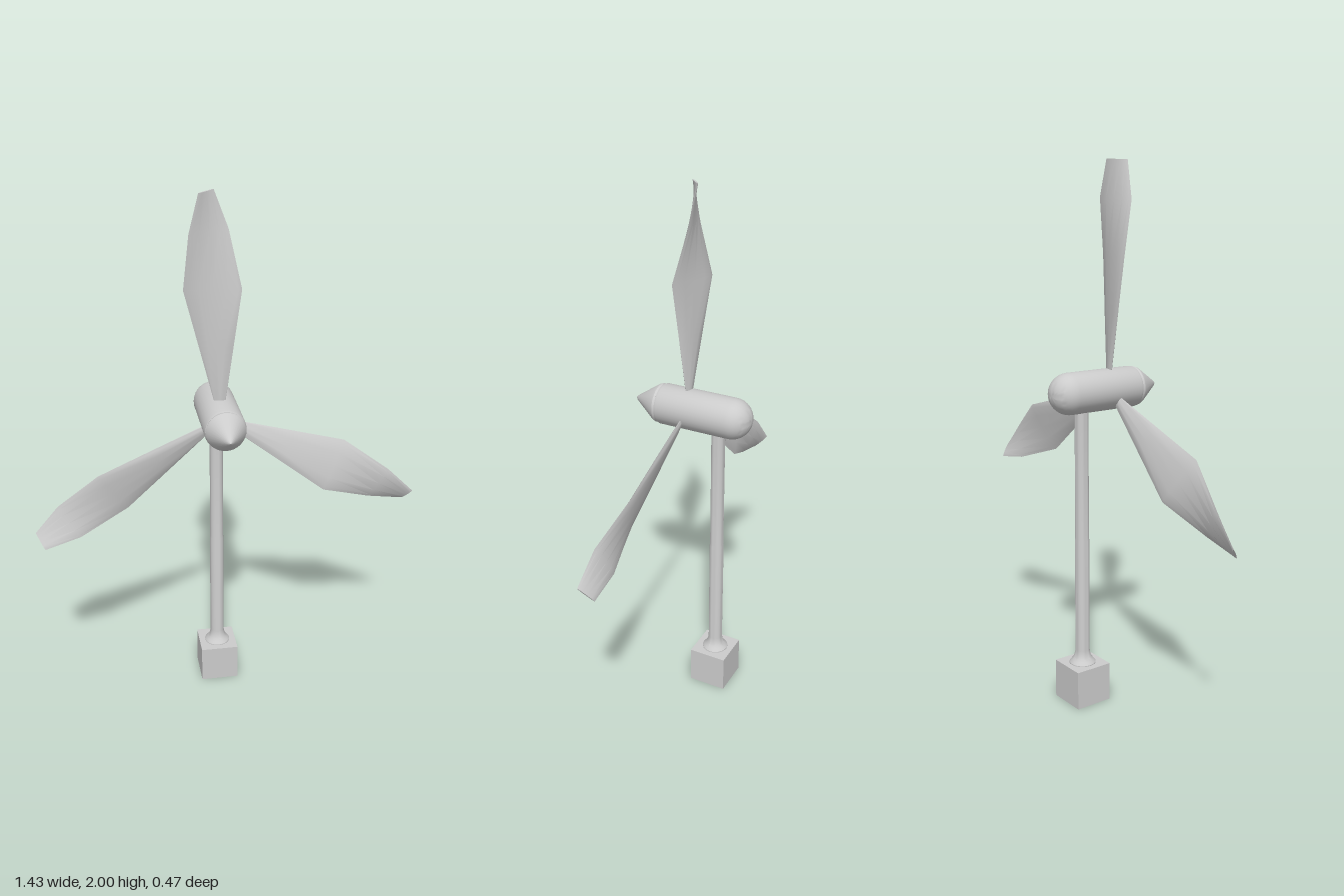
import * as THREE from 'three';
import { toCreasedNormals } from 'three/addons/utils/BufferGeometryUtils.js';

const AXIS_X = -0.022, HUB_Y = 1.19, TOWER_Z = -0.105;
const material = new THREE.MeshStandardMaterial({ color: 0xcccccc });

function part(name, geometry, x = 0, y = 0, z = 0) {
  const mesh = new THREE.Mesh(geometry, material);
  mesh.name = name;
  mesh.position.set(x, y, z);
  return mesh;
}

function lathe(profile, segments = 32) {
  const points = profile.map(([r, y]) => new THREE.Vector2(r, y));
  return toCreasedNormals(new THREE.LatheGeometry(points, segments), 0.55);
}

// Twisted lens-shaped blade running outward along +y
function bladeGeometry() {
  // distance from hub, half width, half thickness, edge offset in z
  const stations = [
    [0.075, 0.021, 0.006, -0.004],
    [0.28, 0.060, 0.009, -0.016],
    [0.48, 0.098, 0.010, -0.028],
    [0.68, 0.070, 0.008, 0.016],
    [0.812, 0.029, 0.005, 0.024],
  ];
  const sides = 12, vertices = [], index = [];
  for (const [y, width, thick, twist] of stations) {
    for (let j = 0; j < sides; j++) {
      const a = (j / sides) * Math.PI * 2, c = Math.cos(a);
      vertices.push(c * width, y, Math.sin(a) * thick - c * twist);
    }
  }
  for (let i = 0; i < stations.length - 1; i++) {
    for (let j = 0; j < sides; j++) {
      const a = i * sides + j, b = i * sides + ((j + 1) % sides);
      index.push(a, a + sides, b, b, a + sides, b + sides);
    }
  }
  // root and tip caps
  const last = (stations.length - 1) * sides;
  for (let j = 1; j < sides - 1; j++) {
    index.push(0, j, j + 1, last, last + j + 1, last + j);
  }
  const geometry = new THREE.BufferGeometry();
  geometry.setAttribute('position', new THREE.Float32BufferAttribute(vertices, 3));
  geometry.setIndex(index);
  return toCreasedNormals(geometry, 0.9);
}

export function createModel() {
  const model = new THREE.Group();
  model.name = 'windTurbine';

  // Foundation block and tower with flared foot and a slight step at mid height
  model.add(part('base', new THREE.BoxGeometry(0.147, 0.147, 0.147), AXIS_X, 0.0735, TOWER_Z));
  model.add(part('tower', lathe([
    [0, 0.14], [0.05, 0.14], [0.05, 0.15], [0.042, 0.16], [0.034, 0.17], [0.029, 0.185],
    [0.027, 0.2], [0.027, 0.635], [0.0255, 0.645], [0.0255, 1.15],
  ], 24), AXIS_X, 0, TOWER_Z));

  // Nacelle: rounded tail and straight body
  const profile = [];
  for (let i = 0; i <= 10; i++) {
    const a = (i / 10) * Math.PI / 2;
    profile.push([0.076 * Math.sin(a), -0.16 - 0.075 * Math.cos(a)]);
  }
  profile.push([0.076, 0.115], [0.073, 0.123], [0.066, 0.127], [0, 0.127]);
  model.add(part('nacelle', lathe(profile).rotateX(Math.PI / 2), AXIS_X, HUB_Y, 0));

  // Pointed nose cone
  model.add(part('noseCone', lathe([
    [0, 0.12], [0.07, 0.12], [0.073, 0.132], [0.07, 0.14], [0.01, 0.226], [0, 0.235],
  ]).rotateX(Math.PI / 2), AXIS_X, HUB_Y, 0));

  // Three blades around the hub
  const rotor = new THREE.Group();
  rotor.name = 'rotor';
  rotor.position.set(AXIS_X, HUB_Y, 0.016);
  const geometry = bladeGeometry();
  for (let i = 0; i < 3; i++) {
    const blade = part('blade' + (i + 1), geometry);
    blade.rotation.z = 0.059 + (i * Math.PI * 2) / 3;
    rotor.add(blade);
  }
  model.add(rotor);
  return model;
}
